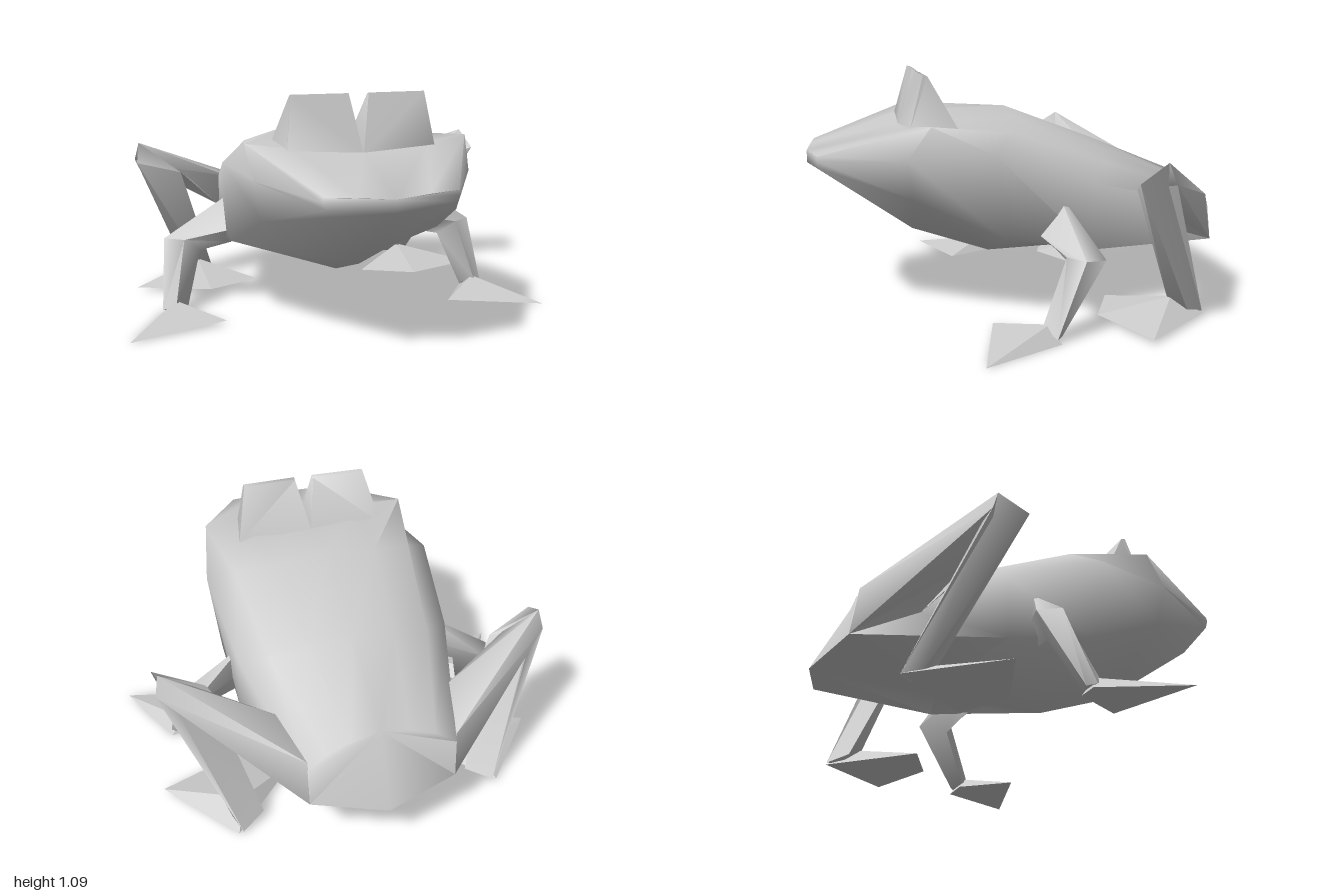
import * as THREE from 'three';
import { toCreasedNormals } from 'three/addons/utils/BufferGeometryUtils.js';
import { ConvexGeometry } from 'three/addons/geometries/ConvexGeometry.js';

const material = new THREE.MeshStandardMaterial({ color: 0xcccccc, side: THREE.DoubleSide });
const vec = (p) => new THREE.Vector3(...p);

// Capped smooth skin through matching cross-sections, always wound outwards
function loft(rings) {
  const n = rings[0].length;
  const points = rings.flat().map(vec);
  const faces = [];
  for (let r = 0; r < rings.length - 1; r++) {
    for (let i = 0; i < n; i++) {
      const a = r * n + i, b = r * n + (i + 1) % n;
      faces.push([a, b, b + n], [a, b + n, a + n]);
    }
  }
  const last = (rings.length - 1) * n;
  for (let i = 1; i < n - 1; i++) {
    faces.push([0, i + 1, i], [last, last + i, last + i + 1]);
  }
  let volume = 0;
  for (const [a, b, c] of faces) {
    volume += points[a].dot(points[b].clone().cross(points[c]));
  }
  if (volume < 0) faces.forEach((f) => f.reverse());
  const geometry = new THREE.BufferGeometry().setFromPoints(points);
  geometry.setIndex(faces.flat());
  return toCreasedNormals(geometry, 1.4);
}

export function createModel() {
  const model = new THREE.Group();
  model.name = 'frog';
  const add = (name, geometry) => {
    const mesh = new THREE.Mesh(geometry, material);
    mesh.name = name;
    model.add(mesh);
  };

  // Body half-sections, nose to rump: top centre, top, brow, side, lower edge, belly
  const halves = [
    [[0, 0.725, 0.98], [0.15, 0.735, 0.96], [0.28, 0.74, 0.94], [0.285, 0.72, 0.94], [0.27, 0.69, 0.94], [0, 0.67, 0.98]],
    [[0, 0.84, 0.55], [0.3, 0.86, 0.52], [0.5, 0.885, 0.47], [0.48, 0.74, 0.57], [0.44, 0.56, 0.54], [0, 0.33, 0.5]],
    [[0, 0.91, 0.05], [0.24, 0.885, 0.05], [0.43, 0.84, 0.1], [0.55, 0.76, 0.2], [0.51, 0.38, 0.15], [0, 0.2, 0.13]],
    [[0, 0.745, -0.38], [0.2, 0.72, -0.38], [0.37, 0.675, -0.35], [0.5, 0.61, -0.25], [0.5, 0.31, -0.25], [0, 0.21, -0.4]],
    [[0, 0.56, -0.82], [0.13, 0.54, -0.83], [0.24, 0.51, -0.845], [0.33, 0.46, -0.87], [0.33, 0.28, -0.89], [0, 0.24, -0.98]],
  ];
  const mirror = ([x, y, z]) => [-x, y, z];
  add('body', loft(halves.map((h) => [...h, ...h.slice(1, -1).reverse().map(mirror)])));

  // Limb sections run outer/top, back, inner/bottom, front
  const frontLeg = [
    [[0.44, 0.57, -0.1], [0.47, 0.42, -0.13], [0.47, 0.31, -0.09], [0.47, 0.4, 0.01]],
    [[0.79, 0.34, -0.13], [0.75, 0.33, -0.23], [0.62, 0.27, -0.12], [0.7, 0.34, -0.07]],
    [[0.82, 0.02, 0.0], [0.78, 0.02, -0.03], [0.7, 0.03, 0.0], [0.76, 0.06, 0.05]],
  ];
  const knee = [[0.87, 0.76, -0.45], [0.89, 0.67, -0.48], [0.67, 0.61, -0.39], [0.89, 0.68, -0.32]];
  const thigh = [
    [[0.33, 0.5, -0.86], [0.33, 0.28, -0.89], [0.45, 0.38, -0.62], [0.4, 0.54, -0.58]],
    knee,
  ];
  const shin = [
    knee,
    [[0.63, 0.03, -0.66], [0.6, 0.02, -0.74], [0.49, 0.04, -0.66], [0.57, 0.09, -0.58]],
  ];
  // Flat webbed feet: heel, toes, instep
  const frontFoot = [[0.82, 0, -0.02], [0.7, 0.01, -0.01], [1, 0, 0.34], [0.55, 0.02, 0.22], [0.76, 0.07, 0.02]];
  const backFoot = [[0.62, 0.015, -0.74], [0.91, 0.02, -0.39], [0.55, 0.02, -0.26], [0.29, 0.02, -0.38],
    [0.57, 0.09, -0.6]];
  // Raised eye wedge: base outline, then the narrow top edge
  const eye = [
    [[0, 0.83, 0.56], [0.33, 0.85, 0.54], [0.36, 0.85, 0.33], [0, 0.87, 0.33]],
    [[0.045, 1.085, 0.48], [0.3, 1.085, 0.475], [0.3, 1.08, 0.455], [0.045, 1.08, 0.46]],
  ];

  for (const [side, place] of [['left', (p) => p], ['right', mirror]]) {
    const skin = (rings) => loft(rings.map((r) => r.map(place)));
    const hull = (points) => new ConvexGeometry(points.map((p) => vec(place(p))));
    add(side + 'FrontLeg', skin(frontLeg));
    add(side + 'Thigh', skin(thigh));
    add(side + 'Shin', skin(shin));
    add(side + 'FrontFoot', hull(frontFoot));
    add(side + 'BackFoot', hull(backFoot));
    add(side + 'Eye', skin(eye));
  }
  return model;
}
